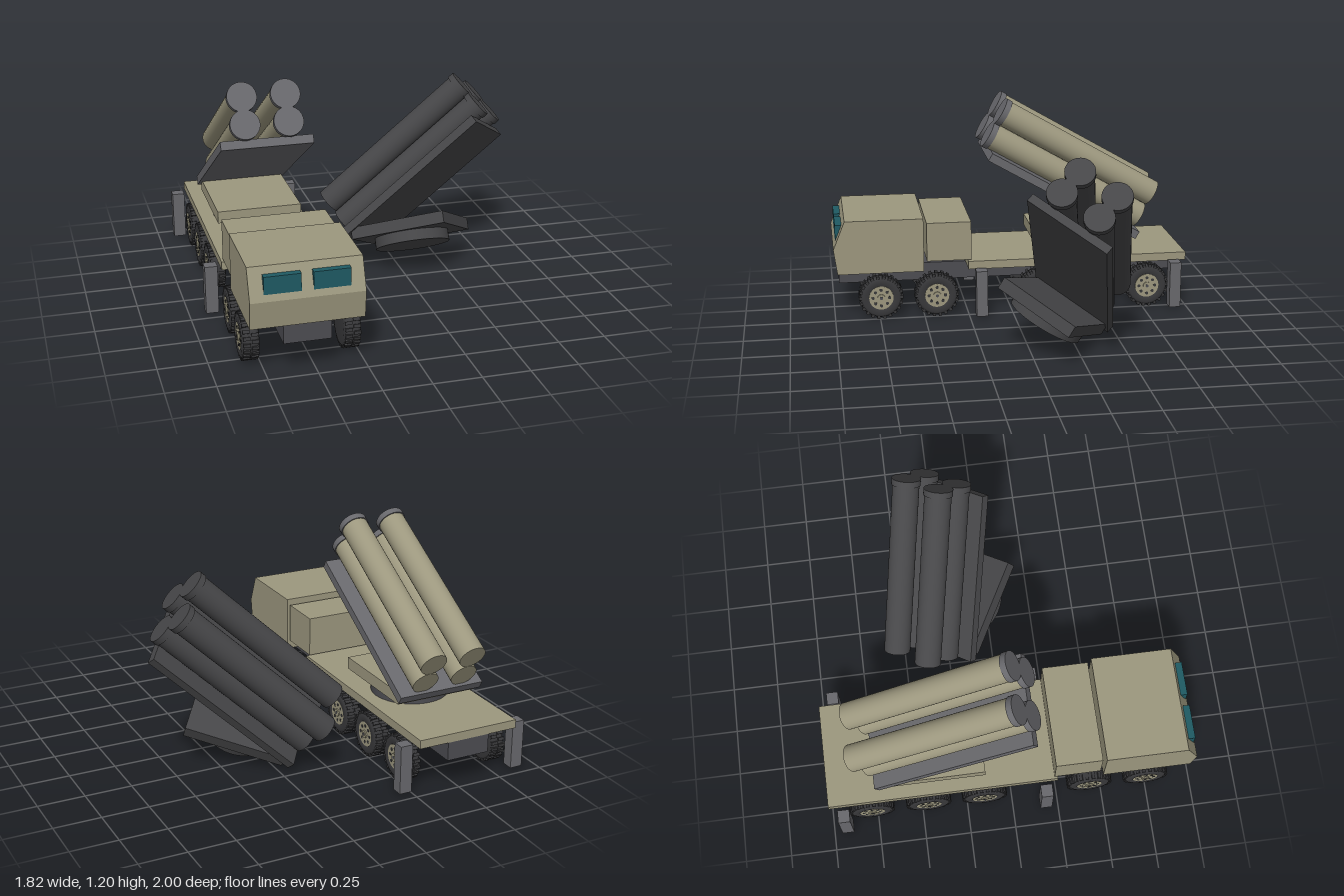
import * as THREE from 'three';

const mat = (name, color) => {
  const m = new THREE.MeshStandardMaterial({ color });
  m.name = name;
  return m;
};

export function createModel() {
  const sand = mat('sand', 0x9c977e);
  const chassisGrey = mat('chassisGrey', 0x4c4c51);
  const steel = mat('steel', 0x68686c);
  const rubber = mat('rubber', 0x38383a);
  const glass = mat('glass', 0x1f5a63);
  const charcoal = mat('charcoal', 0x464648);

  const model = new THREE.Group();
  model.name = 'launcherTruck';
  const TX = -0.545; // centre line of the truck

  const add = (parent, name, geo, material, x = 0, y = 0, z = 0) => {
    const mesh = new THREE.Mesh(geo, material);
    mesh.name = name;
    mesh.position.set(x, y, z);
    parent.add(mesh);
    return mesh;
  };
  // box given by its min and max corners
  const block = (parent, name, material, [x0, y0, z0], [x1, y1, z1]) =>
    add(parent, name, new THREE.BoxGeometry(x1 - x0, y1 - y0, z1 - z0), material,
      (x0 + x1) / 2, (y0 + y1) / 2, (z0 + z1) / 2);

  const truck = new THREE.Group();
  truck.name = 'truck';
  truck.position.x = TX;
  model.add(truck);

  // Chassis, deck and equipment box
  block(truck, 'chassisFrame', chassisGrey, [-0.12, 0.166, -1], [0.12, 0.266, 0.97]);
  block(truck, 'deck', sand, [-0.285, 0.266, -1], [0.285, 0.312, 0.25]);
  block(truck, 'equipmentBox', sand, [-0.275, 0.32, 0.232], [0.275, 0.54, 0.482]);

  // Cab: side profile (z, y) extruded across the width
  const profile = [[0.5, 0.266], [0.98, 0.266], [1, 0.41], [0.935, 0.57], [0.5, 0.57]];
  const cabShape = new THREE.Shape(profile.map(([z, y]) => new THREE.Vector2(z, y)));
  const cabGeo = new THREE.ExtrudeGeometry(cabShape, { depth: 0.57, bevelEnabled: false });
  cabGeo.rotateY(-Math.PI / 2).translate(0.285, 0, 0);
  add(truck, 'cab', cabGeo, sand);
  for (const side of [-1, 1]) {
    const x = side * 0.122;
    block(truck, 'windscreen', glass, [x - 0.092, 0.44, 0.93], [x + 0.092, 0.533, 0.987]);
  }

  // Outriggers
  for (const x of [-0.335, 0.335])
    for (const z of [0.183, -0.924])
      block(truck, 'outrigger', steel, [x - 0.034, 0.012, z - 0.032], [x + 0.034, 0.275, z + 0.032]);

  // Wheels, built with the outer face towards +x
  const tireProfile = [[0, -0.044], [0.1, -0.044], [0.112, -0.036], [0.117, -0.024],
    [0.117, 0.024], [0.112, 0.036], [0.1, 0.044], [0.07, 0.044], [0.066, 0.034], [0, 0.034]];
  const tireGeo = new THREE.LatheGeometry(tireProfile.map(([r, h]) => new THREE.Vector2(r, h)), 36);
  tireGeo.rotateZ(-Math.PI / 2);
  const lugGeo = new THREE.BoxGeometry(0.036, 0.016, 0.017);
  const disc = (r, h, n = 28) => new THREE.CylinderGeometry(r, r, h, n).rotateZ(-Math.PI / 2);
  const rimGeo = disc(0.068, 0.01), holeGeo = disc(0.009, 0.003, 10);
  const capGeo = disc(0.022, 0.012, 16), boltGeo = disc(0.009, 0.012, 10);
  const lugCount = 22;

  const makeWheel = () => {
    const wheel = new THREE.Group();
    wheel.name = 'wheel';
    add(wheel, 'tire', tireGeo, rubber);
    for (let i = 0; i < lugCount; i++)
      for (const side of [-1, 1]) {
        const a = ((i + (side > 0 ? 0.5 : 0)) / lugCount) * Math.PI * 2;
        const lug = add(wheel, 'treadLug', lugGeo, rubber,
          side * 0.021, Math.cos(a) * 0.116, Math.sin(a) * 0.116);
        lug.rotation.x = a;
      }
    add(wheel, 'rim', rimGeo, sand, 0.037);
    for (let i = 0; i < 8; i++) {
      const a = (i / 8) * Math.PI * 2;
      add(wheel, 'rimHole', holeGeo, rubber, 0.042, Math.cos(a) * 0.046, Math.sin(a) * 0.046);
    }
    add(wheel, 'hub', capGeo, sand, 0.043);
    add(wheel, 'hubCap', boltGeo, chassisGrey, 0.045);
    return wheel;
  };
  for (const z of [0.743, 0.43, -0.153, -0.462, -0.775])
    for (const side of [-1, 1]) {
      const wheel = makeWheel();
      wheel.position.set(side * 0.256, 0.125, z);
      if (side < 0) wheel.rotation.y = Math.PI;
      truck.add(wheel);
    }

  // Launcher: pedestal, platform, tilted tray and four canisters; origin under the pedestal
  const tubeGeo = new THREE.CylinderGeometry(0.073, 0.073, 0.98, 32).rotateX(Math.PI / 2);
  const lidGeo = new THREE.CylinderGeometry(0.079, 0.079, 0.034, 32).rotateX(Math.PI / 2);
  const makeLauncher = (name, base, body, trayMat, lidMat) => {
    const launcher = new THREE.Group();
    launcher.name = name;
    add(launcher, 'pedestal', new THREE.CylinderGeometry(0.208, 0.208, 0.062, 40), base, 0, 0.03, 0);
    block(launcher, 'platform', body, [-0.23, 0.06, -0.27], [0.23, 0.126, 0.27]);

    const tray = new THREE.Group();
    tray.name = 'canisterRack';
    tray.position.set(0, -0.31, 0.41);
    tray.rotation.x = -Math.PI / 6;
    launcher.add(tray);
    block(tray, 'tray', trayMat, [-0.246, 0.695, -0.423], [0.246, 0.742, 0.55]);
    for (const x of [-0.115, 0.115])
      for (const y of [0.81, 0.957]) {
        add(tray, 'canister', tubeGeo, body, x, y, 0.084);
        add(tray, 'canisterLid', lidGeo, lidMat, x, y, 0.588);
      }
    return launcher;
  };

  const mounted = makeLauncher('mountedLauncher', chassisGrey, sand, steel, steel);
  mounted.position.set(TX, 0.31, -0.41);
  model.add(mounted);

  // Second launcher lying beside the truck, tipped over
  const spare = makeLauncher('spareLauncher', charcoal, charcoal, charcoal, charcoal);
  const across = new THREE.Vector3(0.566, -0.424, -0.703).normalize();
  const forward = new THREE.Vector3().crossVectors(across, new THREE.Vector3(0.004, 0.856, -0.513)).normalize();
  const up = new THREE.Vector3().crossVectors(forward, across);
  spare.quaternion.setFromRotationMatrix(new THREE.Matrix4().makeBasis(across, up, forward));
  spare.position.set(0.316, 0.143, -0.089);
  model.add(spare);

  return model;
}
